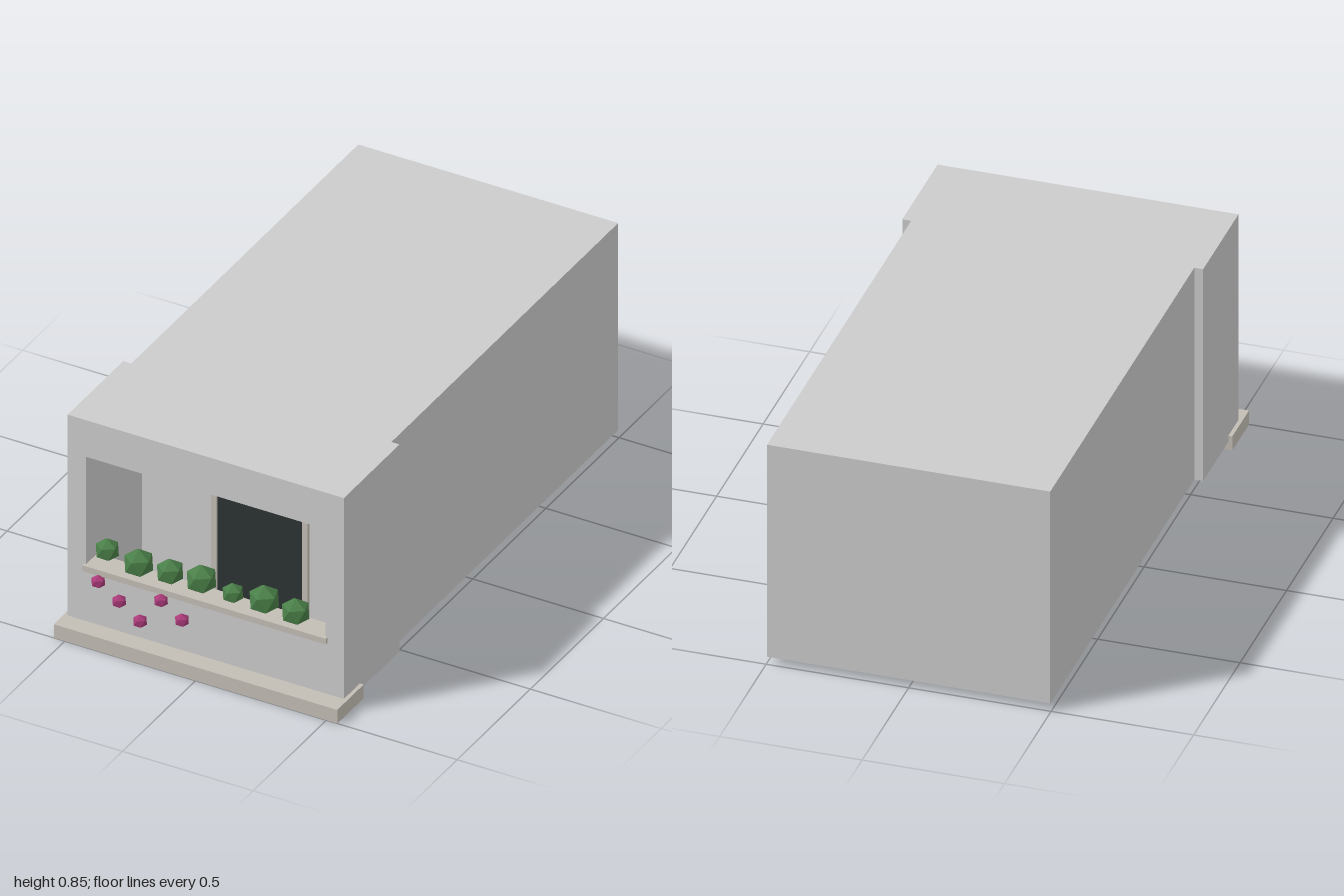
import * as THREE from 'three';

const mat = (color, flatShading = false) => new THREE.MeshStandardMaterial({ color, flatShading });

export function createModel() {
  const model = new THREE.Group();
  const grey = mat(0xcccccc);
  const stone = mat(0xc3bdb4);
  const dark = mat(0x2c3333);
  const brown = mat(0xa7927d);
  const green = mat(0x4a7f48, true);
  const magenta = mat(0xa83a78, true);

  const add = (name, geometry, material) => {
    const mesh = new THREE.Mesh(geometry, material);
    mesh.name = name;
    model.add(mesh);
    return mesh;
  };
  // Box given by its extents on each axis
  const box = (name, [x0, x1], [y0, y1], [z0, z1], material) =>
    add(name, new THREE.BoxGeometry(x1 - x0, y1 - y0, z1 - z0), material)
      .position.set((x0 + x1) / 2, (y0 + y1) / 2, (z0 + z1) / 2);
  // Upside-down U extruded along z: two legs joined by a top bar
  const arch = (name, outer, inner, y0, yInner, yOuter, z0, z1, material) => {
    const shape = new THREE.Shape([
      [-outer, y0], [-inner, y0], [-inner, yInner], [inner, yInner],
      [inner, y0], [outer, y0], [outer, yOuter], [-outer, yOuter],
    ].map(([x, y]) => new THREE.Vector2(x, y)));
    add(name, new THREE.ExtrudeGeometry(shape, { depth: z1 - z0, bevelEnabled: false }), material)
      .position.z = z0;
  };

  // Building mass and the recessed balcony in front of it
  box('mainBody', [-0.497, 0.497], [0.03, 0.85], [-1, 0.55], grey);
  arch('balconySurround', 0.528, 0.457, 0.03, 0.705, 0.85, 0.55, 0.93, grey);
  box('parapet', [-0.457, 0.457], [0.03, 0.26], [0.87, 0.93], grey);
  box('balconyFloor', [-0.457, 0.457], [0.04, 0.055], [0.55, 0.87], brown);
  box('plinth', [-0.542, 0.542], [0, 0.054], [0.82, 1], stone);
  box('parapetLedge', [-0.466, 0.466], [0.257, 0.28], [0.855, 0.943], stone);

  // Balcony door
  arch('doorFrame', 0.184, 0.164, 0.055, 0.616, 0.636, 0.55, 0.565, stone);
  box('doorPanel', [-0.164, 0.164], [0.055, 0.616], [0.55, 0.558], dark);

  // Shrubs along the ledge: x, y, radius
  [
    [-0.4, 0.332, 0.044], [-0.28, 0.317, 0.055], [-0.16, 0.32, 0.05], [-0.04, 0.328, 0.056],
    [0.08, 0.31, 0.039], [0.2, 0.323, 0.056], [0.32, 0.312, 0.052],
  ].forEach(([x, y, r]) => {
    const shrub = add('shrub', new THREE.IcosahedronGeometry(r), green);
    shrub.position.set(x, y, 0.888);
    shrub.rotation.x = -1.017; // one corner points straight up
  });

  // Blossoms hanging in front of the parapet
  [[-0.4, 0.24], [-0.32, 0.187], [-0.24, 0.133], [-0.16, 0.24], [-0.08, 0.187]].forEach(([x, y]) => {
    const blossom = add('blossom', new THREE.IcosahedronGeometry(0.026), magenta);
    blossom.position.set(x, y, 0.95);
    blossom.rotation.x = -1.017;
  });

  return model;
}
